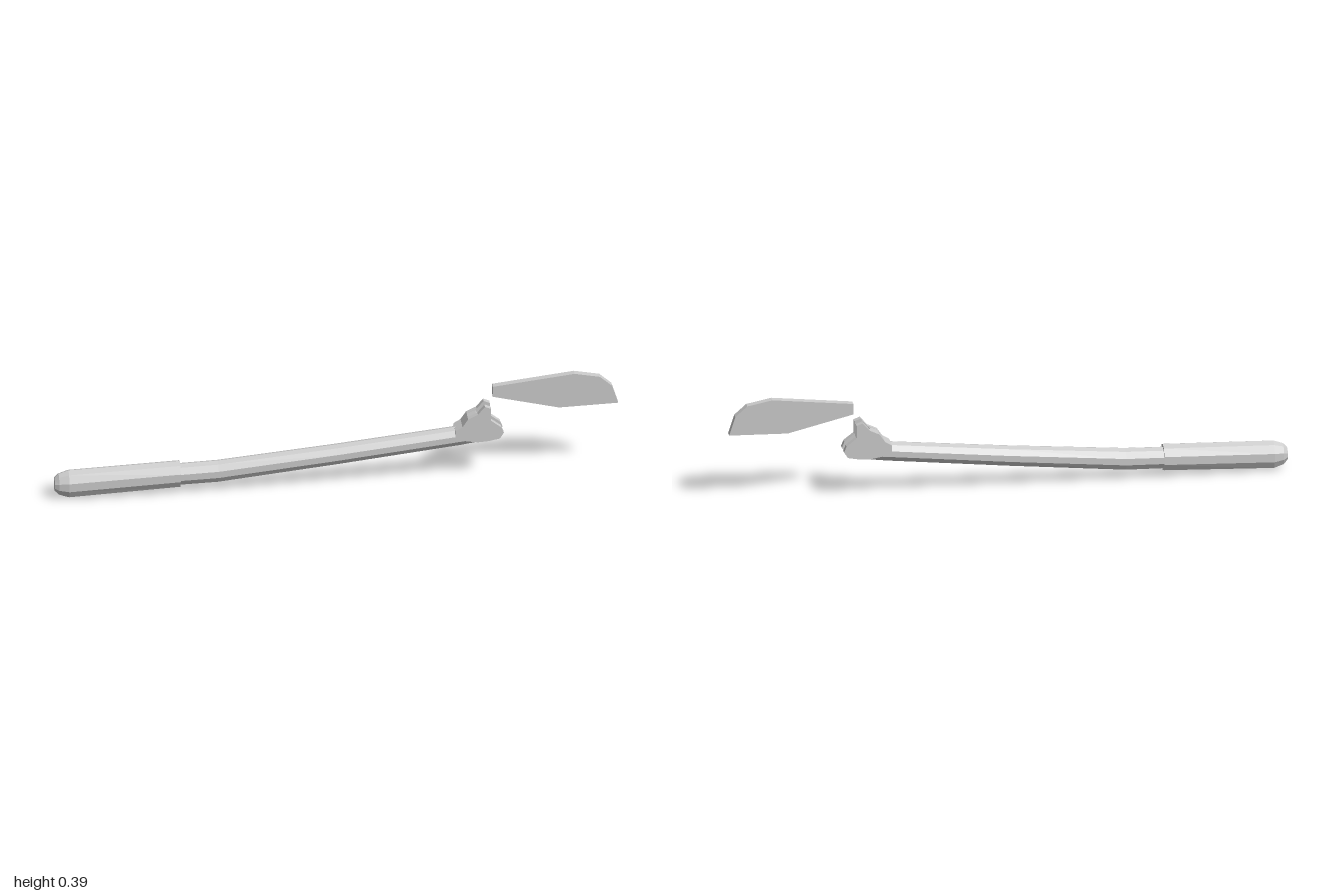
import * as THREE from 'three';

const material = new THREE.MeshStandardMaterial({ color: 0xcccccc, flatShading: true });

// Ten-sided handle section as fractions of half height (y) and half width (z)
const half = [[1, 0], [0.83, 0.58], [0.3, 1], [-0.3, 1], [-0.83, 0.58]];
const SECTION = [...half, ...half.map(([y, z]) => [-y, -z])];

// Loft the section through stations [x, bottomY, topY, halfWidth], capped at both ends
function loft(name, stations) {
  const rings = stations.map(([x, y0, y1, w]) =>
    SECTION.map(([y, z]) => [x, (y0 + y1) / 2 + y * (y1 - y0) / 2, z * w]));
  const centre = ([x, y0, y1]) => [x, (y0 + y1) / 2, 0];
  const n = SECTION.length, last = rings.length - 1, positions = [];
  const tri = (...corners) => corners.forEach((c) => positions.push(...c));
  for (let j = 0; j < n; j++) {
    const k = (j + 1) % n;
    for (let i = 0; i < last; i++) {
      const a = rings[i], b = rings[i + 1];
      tri(a[j], a[k], b[k]);
      tri(a[j], b[k], b[j]);
    }
    tri(centre(stations[0]), rings[0][k], rings[0][j]);
    tri(centre(stations[last]), rings[last][j], rings[last][k]);
  }
  const geometry = new THREE.BufferGeometry();
  geometry.setAttribute('position', new THREE.Float32BufferAttribute(positions, 3));
  geometry.computeVertexNormals();
  const mesh = new THREE.Mesh(geometry, material);
  mesh.name = name;
  return mesh;
}

// Flat plate cut from a side outline, spanning z0 to z1
function plate(name, outline, z0, z1) {
  const shape = new THREE.Shape(outline.map(([x, y]) => new THREE.Vector2(x, y)));
  const geometry = new THREE.ExtrudeGeometry(shape, { depth: z1 - z0, bevelEnabled: false });
  geometry.translate(0, 0, z0);
  const mesh = new THREE.Mesh(geometry, material);
  mesh.name = name;
  return mesh;
}

export function createModel() {
  const model = new THREE.Group();
  model.name = 'bladedHandle';

  // Thick grip with a chamfered butt
  model.add(loft('grip', [
    [-1, 0.03, 0.08, 0.02],
    [-0.985, 0.014, 0.095, 0.029],
    [-0.95, 0.002, 0.107, 0.037],
    [-0.555, 0.022, 0.122, 0.038],
  ]));

  // Slimmer shaft, bent just past the grip
  model.add(loft('shaft', [
    [-0.6, 0.029, 0.109, 0.032],
    [-0.42, 0.034, 0.116, 0.032],
    [0.0, 0.08, 0.156, 0.032],
    [0.44, 0.132, 0.204, 0.031],
    [0.53, 0.146, 0.2, 0.026],
  ]));

  // Forked head: two cheeks joined by a web behind the slot
  const head = new THREE.Group();
  head.name = 'forkedHead';
  const cheek = [
    [0.42, 0.165], [0.5, 0.152], [0.54, 0.155], [0.578, 0.163], [0.592, 0.185],
    [0.583, 0.207], [0.547, 0.235], [0.547, 0.283], [0.525, 0.292],
    [0.5, 0.262], [0.465, 0.245], [0.445, 0.215], [0.42, 0.2],
  ];
  head.add(plate('leftCheek', cheek, 0.013, 0.032));
  head.add(plate('rightCheek', cheek, -0.032, -0.013));
  head.add(plate('web', [
    [0.42, 0.165], [0.5, 0.15], [0.535, 0.15], [0.535, 0.2], [0.495, 0.258],
    [0.465, 0.245], [0.445, 0.215], [0.42, 0.2],
  ], -0.013, 0.013));
  model.add(head);

  // Detached blade beyond the fork
  model.add(plate('blade', [
    [0.555, 0.32], [0.79, 0.264], [1, 0.271], [0.978, 0.34], [0.935, 0.378],
    [0.845, 0.395], [0.555, 0.36],
  ], -0.012, 0.012));

  return model;
}
